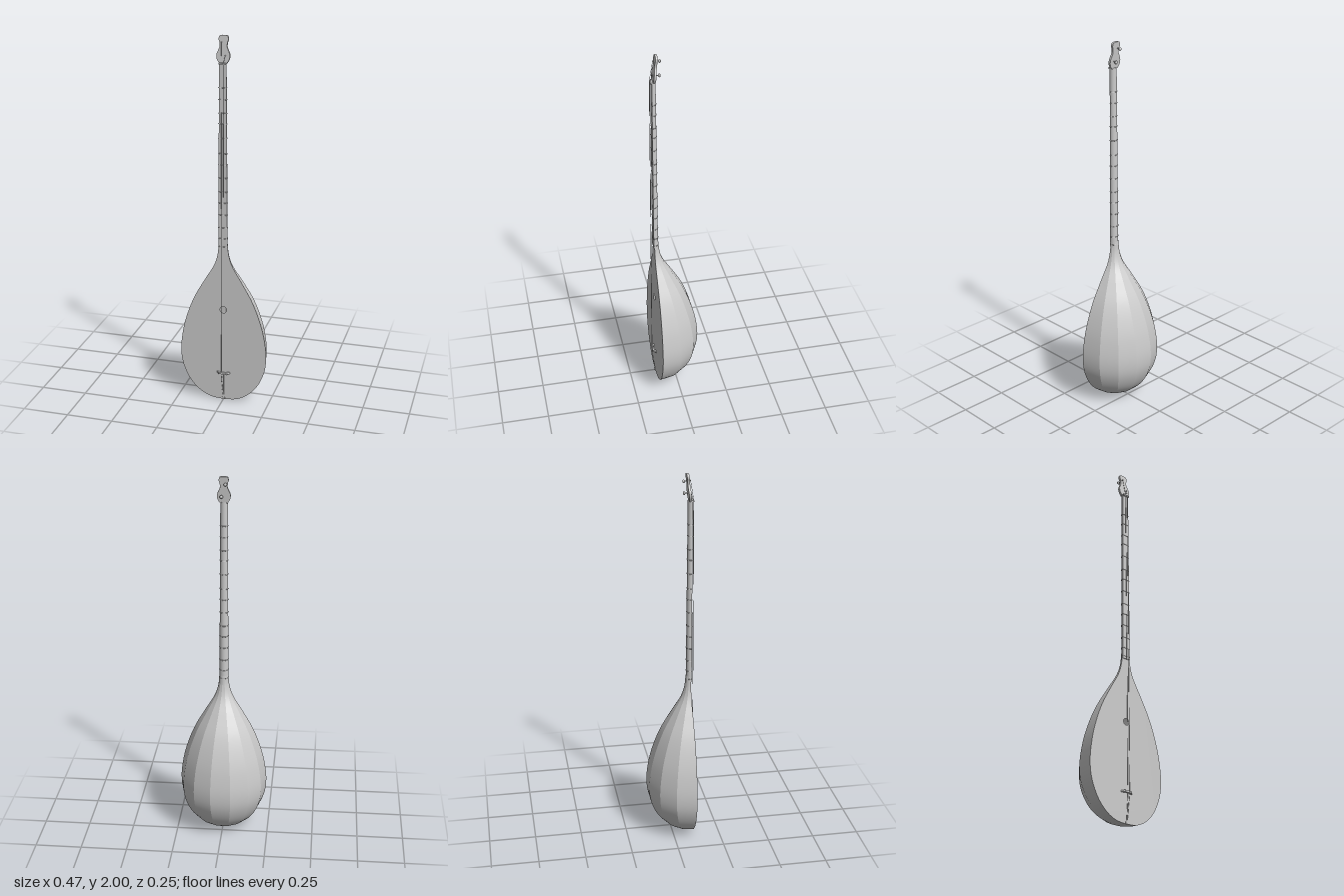
import * as THREE from 'three';

const FACE = 0.106; // z of the soundboard
const mat = new THREE.MeshStandardMaterial({ color: 0xcccccc, side: THREE.DoubleSide });

function add(parent, name, geometry, x = 0, y = 0, z = 0) {
  const mesh = new THREE.Mesh(geometry, mat);
  mesh.name = name;
  mesh.position.set(x, y, z);
  parent.add(mesh);
  return mesh;
}

// Half-width of the body at heights from the tail to the neck joint
const outline = new THREE.CatmullRomCurve3([
  [0, 0.004], [0.07, 0.012], [0.13, 0.042], [0.185, 0.1], [0.226, 0.19], [0.237, 0.28], [0.223, 0.4],
  [0.196, 0.5], [0.156, 0.6], [0.1, 0.7], [0.048, 0.79], [0.03, 0.85], [0.024, 0.91],
].map(([x, y]) => new THREE.Vector3(x, y, 0))).getPoints(72);

// Rib corners as fractions of the half-width, from the left edge round the back
const half = [[1, 0], [0.9, 0.455], [0.625, 0.79], [0.23, 0.975]];
const corners = [...half, ...half.slice().reverse().map(([x, z]) => [-x, z])];

// One rib: a strip between two neighbouring corners, smooth along its length
function ribGeometry(c0, c1) {
  const pos = [], idx = [];
  outline.forEach((p, j) => {
    for (const c of [c0, c1]) pos.push(c[0] * p.x, p.y, FACE - c[1] * p.x);
    if (j) {
      const a = 2 * j - 2;
      idx.push(a, a + 1, a + 2, a + 1, a + 3, a + 2);
    }
  });
  const g = new THREE.BufferGeometry();
  g.setAttribute('position', new THREE.Float32BufferAttribute(pos, 3));
  g.setIndex(idx);
  g.computeVertexNormals();
  return g;
}

// Half-round bar standing upright with its flat side to the front
function halfRound(r0, r1, depth, y0, y1) {
  const g = new THREE.CylinderGeometry(r1, r0, y1 - y0, 20, 1, false, Math.PI / 2, Math.PI);
  g.scale(1, 1, depth);
  g.translate(0, (y0 + y1) / 2, 0);
  return g;
}

function rod(a, b, radius, sides = 6) {
  return new THREE.TubeGeometry(new THREE.LineCurve3(a, b), 1, radius, sides, false);
}

export function createModel() {
  const root = new THREE.Group();
  root.name = 'longNeckedLute';

  // Ribbed bowl
  const bowl = new THREE.Group();
  bowl.name = 'bowl';
  root.add(bowl);
  for (let i = 0; i < corners.length - 1; i++) add(bowl, 'rib', ribGeometry(corners[i], corners[i + 1]));

  // Soundboard with its sound hole
  const board = new THREE.Shape([
    ...outline.map((p) => new THREE.Vector2(p.x, p.y)),
    ...outline.slice(1).reverse().map((p) => new THREE.Vector2(-p.x, p.y)),
  ]);
  board.holes.push(new THREE.Path().absarc(0, 0.535, 0.018, 0, Math.PI * 2, true));
  add(root, 'soundboard', new THREE.ShapeGeometry(board, 20), 0, 0, FACE);

  // Neck, with a flat fingerboard
  add(root, 'neck', halfRound(0.024, 0.019, 0.95, 0.88, 1.865), 0, 0, FACE);
  const fingerboard = new THREE.BoxGeometry(0.04, 0.985, 0.004);
  const fp = fingerboard.attributes.position;
  for (let i = 0; i < fp.count; i++) fp.setX(i, fp.getX(i) * (fp.getY(i) > 0 ? 0.95 : 1.2));
  add(root, 'fingerboard', fingerboard, 0, 1.3725, FACE + 0.002);

  // Tied frets wrapped around the neck
  const frets = new THREE.Group();
  frets.name = 'frets';
  root.add(frets);
  for (const y of [0.895, 0.94, 1.0, 1.07, 1.135, 1.195, 1.27, 1.34, 1.4, 1.48, 1.555, 1.61, 1.68, 1.74]) {
    const r = THREE.MathUtils.mapLinear(y, 0.88, 1.865, 0.025, 0.02);
    const path = [new THREE.Vector3(r, y, FACE + 0.004)];
    for (let k = 0; k <= 12; k++) {
      const t = (k / 12) * Math.PI;
      path.push(new THREE.Vector3(r * Math.cos(t), y, FACE - 0.95 * r * Math.sin(t)));
    }
    path.push(new THREE.Vector3(-r, y, FACE + 0.004));
    const loop = new THREE.CatmullRomCurve3(path, true, 'catmullrom', 0.2);
    add(frets, 'fret', new THREE.TubeGeometry(loop, 32, 0.0018, 5, true));
  }
  add(root, 'nut', new THREE.BoxGeometry(0.038, 0.008, 0.014), 0, 1.862, FACE + 0.004);

  // Pear-shaped headstock, leaning back
  const head = new THREE.Group();
  head.name = 'headstock';
  head.position.set(0, 1.86, 0.093);
  head.rotation.x = -0.1;
  root.add(head);
  const edge = [[0.019, 0], [0.032, 0.022], [0.034, 0.045], [0.026, 0.066], [0.019, 0.085], [0.021, 0.106], [0.025, 0.12], [0.021, 0.136], [0.009, 0.14]];
  const headShape = new THREE.Shape();
  headShape.moveTo(-0.019, 0);
  headShape.lineTo(0.019, 0);
  headShape.splineThru(edge.slice(1).map(([x, y]) => new THREE.Vector2(x, y)));
  headShape.lineTo(-0.009, 0.14);
  headShape.splineThru(edge.slice(0, -1).reverse().map(([x, y]) => new THREE.Vector2(-x, y)));
  add(head, 'headPlate', new THREE.ExtrudeGeometry(headShape, { depth: 0.012, bevelEnabled: false, curveSegments: 24 }));

  // Tuning pegs through the headstock, knobs behind
  for (const [x, y] of [[0.011, 0.04], [-0.01, 0.106]]) {
    const shaft = add(head, 'pegShaft', new THREE.CylinderGeometry(0.003, 0.003, 0.036, 10), x, y, 0.001);
    shaft.rotation.x = Math.PI / 2;
    const knob = add(head, 'pegKnob', new THREE.SphereGeometry(0.009, 14, 10), x, y, -0.018);
    knob.scale.z = 0.7;
  }

  // Bridge: a low trapezoid on two feet
  const bridge = new THREE.Shape([[-0.037, 0], [-0.022, 0], [-0.016, 0.007], [0.016, 0.007], [0.022, 0], [0.037, 0], [0.02, 0.016], [-0.02, 0.016]]
    .map(([x, z]) => new THREE.Vector2(x, z)));
  const bridgeGeo = new THREE.ExtrudeGeometry(bridge, { depth: 0.01, bevelEnabled: false });
  bridgeGeo.rotateX(Math.PI / 2);
  bridgeGeo.scale(1, 1, 1);
  add(root, 'bridge', bridgeGeo, 0, 0.17, FACE);

  // Strings from tail to pegs, over bridge and nut
  const strings = new THREE.Group();
  strings.name = 'strings';
  root.add(strings);
  for (const [x, pegX, pegY, pegZ] of [[0.006, 0.011, 1.9, 0.106], [-0.006, -0.01, 1.965, 0.1]]) {
    const points = [
      new THREE.Vector3(x * 0.4, 0.012, FACE + 0.002), new THREE.Vector3(x, 0.165, FACE + 0.017),
      new THREE.Vector3(x, 1.862, FACE + 0.012), new THREE.Vector3(pegX, pegY, pegZ),
    ];
    for (let i = 0; i < 3; i++) add(strings, 'string', rod(points[i], points[i + 1], 0.001, 5));
  }

  // Tail button holding the string ends
  add(root, 'tailButton', new THREE.BoxGeometry(0.016, 0.012, 0.008), 0, 0.01, FACE);
  return root;
}
